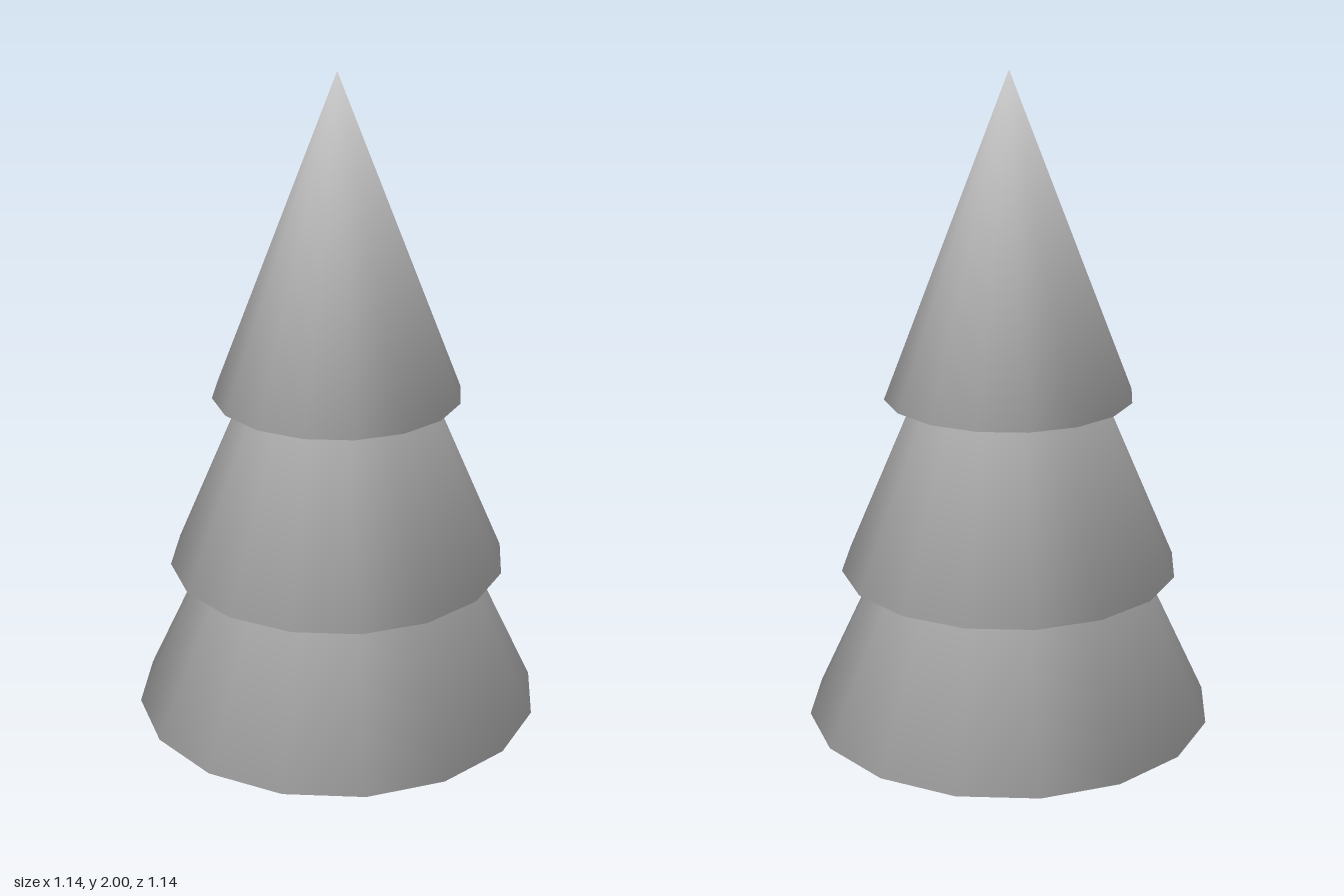
import * as THREE from 'three';

const SIDES = 16;

// Closed cone whose normals run smoothly over the rim onto the flat underside
function tierGeometry(radius, bottom, top) {
  const positions = [], normals = [], index = [];
  const down = -0.38, out = Math.sqrt(1 - down * down);
  for (let i = 0; i < SIDES; i++) {
    const a = (i / SIDES) * Math.PI * 2;
    const c = Math.cos(a), s = Math.sin(a);
    positions.push(radius * c, bottom, radius * s);
    normals.push(out * c, down, out * s);
  }
  positions.push(0, top, 0);
  normals.push(0, 1, 0);
  for (let i = 0; i < SIDES; i++) index.push(i, SIDES, (i + 1) % SIDES); // slope
  for (let i = 1; i < SIDES - 1; i++) index.push(0, i, i + 1); // underside
  const geometry = new THREE.BufferGeometry();
  geometry.setAttribute('position', new THREE.Float32BufferAttribute(positions, 3));
  geometry.setAttribute('normal', new THREE.Float32BufferAttribute(normals, 3));
  geometry.setIndex(index);
  return geometry;
}

export function createModel() {
  const tree = new THREE.Group();
  tree.name = 'tree';
  const material = new THREE.MeshStandardMaterial({ color: 0xcccccc, side: THREE.DoubleSide });

  const add = (name, geometry) => {
    const mesh = new THREE.Mesh(geometry, material);
    mesh.name = name;
    tree.add(mesh);
    return mesh;
  };

  // Foliage: three nested cones
  add('lowerTier', tierGeometry(0.568, 0.21, 1.43));
  add('middleTier', tierGeometry(0.467, 0.64, 1.73));
  add('upperTier', tierGeometry(0.34, 1.13, 2));

  // Trunk: tapered open tube reaching into the lowest tier
  const height = 0.32;
  add('trunk', new THREE.CylinderGeometry(0.13, 0.16, height, SIDES, 1, true)).position.y = height / 2;

  return tree;
}
